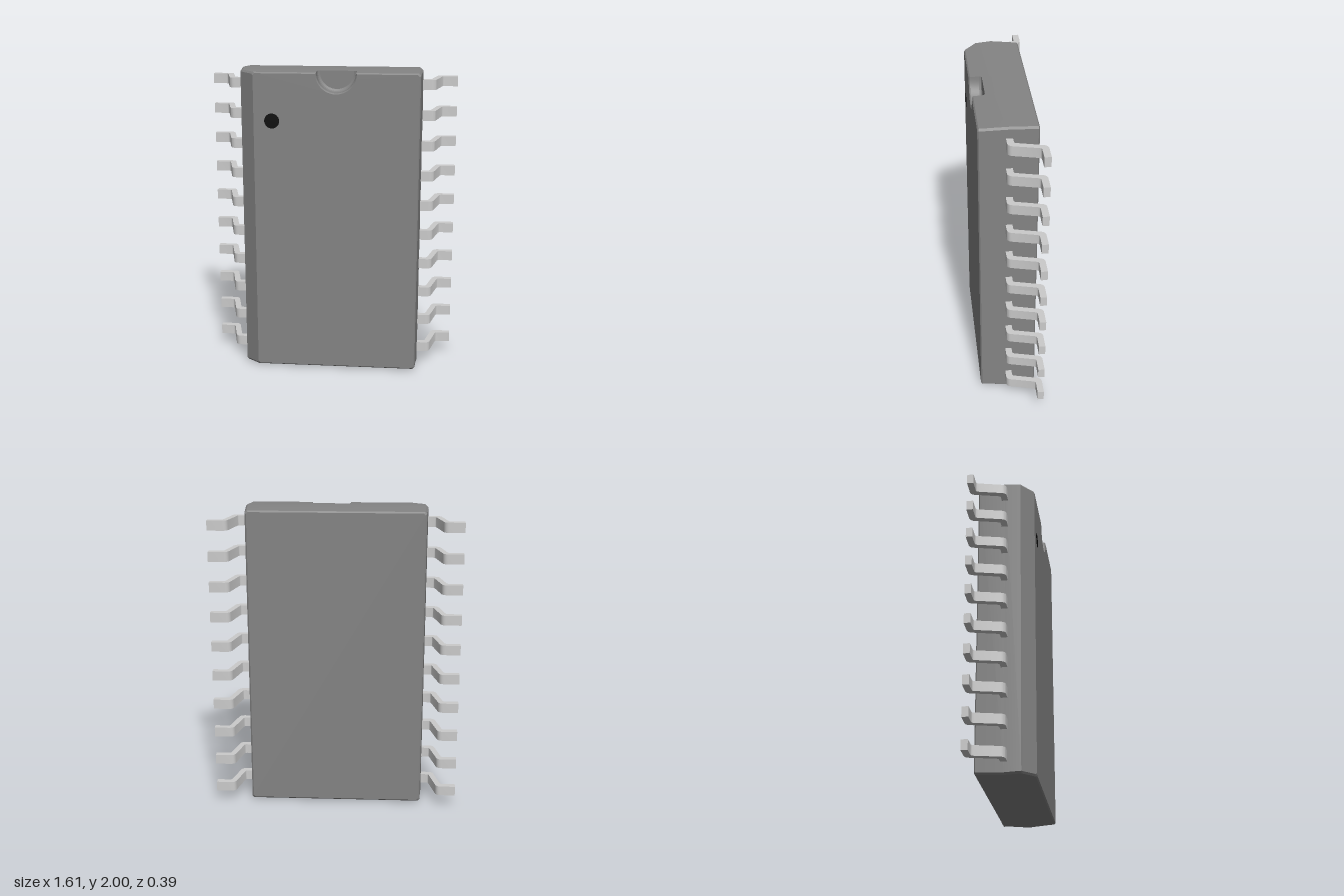
import * as THREE from 'three';
import { toCreasedNormals } from 'three/addons/utils/BufferGeometryUtils.js';

const ARC = 24, NOTCH_X = 0.04, NOTCH_Y = 1.985;

// One outline of the body, counter-clockwise; r is the notch radius, cut tells if it is open.
function outline({ l, r, y, inset = 0, notch = 0.125, cut = false }) {
  const c = 0.012, x0 = l + inset, x1 = r - inset, y0 = y + inset, y1 = 2 - y - inset;
  const pts = [[x0 + c, y0], [x1 - c, y0], [x1, y0 + c], [x1, y1 - c], [x1 - c, y1]];
  for (let i = 0; i <= ARC; i++) {
    const a = -Math.PI * i / ARC, end = i === 0 || i === ARC;
    pts.push([NOTCH_X + notch * Math.cos(a), cut && !end ? NOTCH_Y + notch * Math.sin(a) : y1]);
  }
  pts.push([x0 + c, y1], [x0, y1 - c], [x0, y0 + c]);
  return pts;
}

// Tapered body lofted from back to front; the repeated depth forms the notch floor.
function bodyGeometry() {
  const layers = [
    { z: -0.163, l: -0.568, r: 0.568, y: 0.013, inset: 0.008 },
    { z: -0.155, l: -0.57, r: 0.57, y: 0.012 },
    { z: 0.015, l: -0.583, r: 0.583, y: 0 },
    { z: 0.115, l: -0.576, r: 0.574, y: 0.007, notch: 0.108 },
    { z: 0.115, l: -0.576, r: 0.574, y: 0.007, notch: 0.108, cut: true },
    { z: 0.12, l: -0.57, r: 0.574, y: 0.007, notch: 0.12, cut: true },
    { z: 0.132, l: -0.556, r: 0.573, y: 0.008, cut: true },
    { z: 0.187, l: -0.494, r: 0.569, y: 0.011, cut: true },
    { z: 0.195, l: -0.492, r: 0.568, y: 0.012, inset: 0.007, notch: 0.131, cut: true },
  ];
  const loops = layers.map(outline), n = loops[0].length;
  const pos = [], index = [];
  loops.forEach((loop, k) => loop.forEach(([x, y]) => pos.push(x, y, layers[k].z)));
  for (let k = 0; k < loops.length - 1; k++) {
    for (let i = 0; i < n; i++) {
      const a = k * n + i, b = k * n + (i + 1) % n;
      index.push(a, b, b + n, a, b + n, a + n);
    }
  }
  // Back and front faces
  for (const k of [0, loops.length - 1]) {
    const contour = loops[k].map(([x, y]) => new THREE.Vector2(x, y));
    for (const [a, b, c] of THREE.ShapeUtils.triangulateShape(contour, [])) {
      const o = k * n;
      if (k) index.push(o + a, o + b, o + c);
      else index.push(o + a, o + c, o + b);
    }
  }
  const g = new THREE.BufferGeometry();
  g.setAttribute('position', new THREE.Float32BufferAttribute(pos, 3));
  g.setIndex(index);
  return toCreasedNormals(g, 0.18);
}

// Bent strip drawn in x and depth, then extruded along the body's height.
function legGeometry(side) {
  const width = 0.064, s = new THREE.Shape();
  const move = (x, z) => s.moveTo(side * x, -z);
  const line = (x, z) => s.lineTo(side * x, -z);
  const bend = (cx, cz, x, z) => s.quadraticCurveTo(side * cx, -cz, side * x, -z);
  move(0.56, 0.034);
  line(0.633, 0.034);
  bend(0.662, 0.034, 0.669, 0.006);
  line(0.705, -0.142);
  bend(0.709, -0.154, 0.72, -0.155);
  line(0.806, -0.155);
  line(0.806, -0.196);
  line(0.708, -0.196);
  bend(0.68, -0.196, 0.673, -0.168);
  line(0.636, -0.019);
  bend(0.633, -0.007, 0.622, -0.007);
  line(0.56, -0.007);
  s.closePath();
  const g = new THREE.ExtrudeGeometry(s, { depth: width, bevelEnabled: false, curveSegments: 5 });
  g.translate(0, 0, -width / 2).rotateX(-Math.PI / 2);
  return toCreasedNormals(g, 0.5);
}

export function createModel() {
  const model = new THREE.Group();
  model.name = 'chipPackage';
  const add = (parent, name, geometry, material) => {
    const m = new THREE.Mesh(geometry, material);
    m.name = name;
    parent.add(m);
    return m;
  };
  const dark = new THREE.MeshStandardMaterial({ color: 0x848484 });
  const metal = new THREE.MeshStandardMaterial({ color: 0xcccccc });
  const black = new THREE.MeshStandardMaterial({ color: 0x0a0a0a });

  add(model, 'body', bodyGeometry(), dark);

  // Marker dot beside the first leg
  add(model, 'markerDot', new THREE.CircleGeometry(0.048, 40), black).position.set(-0.368, 1.68, 0.1965);

  // Ten legs on each side
  for (const [side, name] of [[1, 'left'], [-1, 'right']]) {
    const row = new THREE.Group();
    row.name = name + 'Legs';
    model.add(row);
    const geometry = legGeometry(side);
    for (let i = 0; i < 10; i++) {
      add(row, name + 'Leg' + (i + 1), geometry, metal).position.y = 0.109 + i * 0.1988;
    }
  }
  return model;
}
